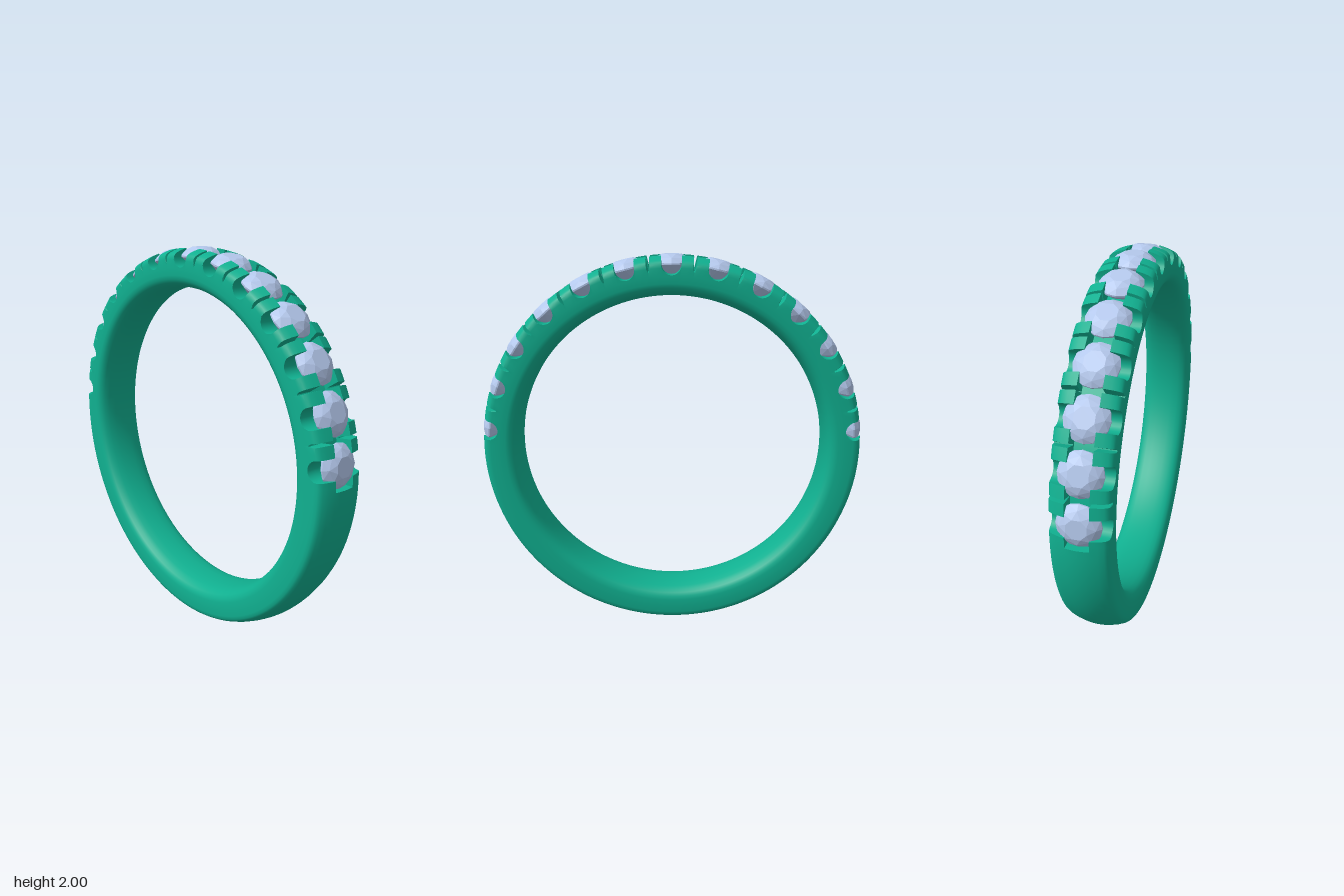
import * as THREE from 'three';
import { toCreasedNormals } from 'three/addons/utils/BufferGeometryUtils.js';
import { ConvexGeometry } from 'three/addons/geometries/ConvexGeometry.js';

const STEP = THREE.MathUtils.degToRad(13.8); // angle between stones
const SIDE = 6;                              // stones on each side of the top one
const GIRDLE = 0.955;                        // radius at which the stones sit
const NOTCH = 0.05, SLIT = 0.009;            // half widths of the cuts
const CHANNEL_Z = 0.055, CHANNEL_R = 0.91;   // channel between the prongs

// Half cross-section of the band, inner middle to outer middle: [z, radius, in channel]
const HALF = [
  [0, 0.8], [0.04, 0.801], [0.08, 0.807], [0.105, 0.816], [0.122, 0.828], [0.133, 0.845],
  [0.137, 0.865], [0.137, 0.9], [0.137, 0.94], [0.134, 0.957], [0.127, 0.967], [0.115, 0.975],
  [0.09, 0.985], [CHANNEL_Z, 0.994], [CHANNEL_Z, 0.994, true], [0.03, 0.998, true], [0, 1, true],
];

// Columns around the band: angle, cut radius across the whole width, channel on or off
function bandColumns() {
  const cols = [];
  const end = SIDE * STEP + 0.105;
  const add = (angle, cut = 2, channel = true) => cols.push({ angle, cut, channel });
  const plain = 90, rest = 2 * Math.PI - 2 * end;
  add(-end);
  for (let i = -SIDE; i <= SIDE; i++) {
    const c = i * STEP, w = NOTCH / 0.97;
    add(c - 0.08);
    add(c - w);
    for (let k = 0; k <= 12; k++) {
      const a = Math.PI * k / 12;
      add(c - w * Math.cos(a), GIRDLE - NOTCH * Math.sin(a));
    }
    add(c + w);
    add(c + 0.08);
    if (i < SIDE) {
      add(c + STEP / 2 - SLIT);
      add(c + STEP / 2 - SLIT * 0.3, 0.925);
      add(c + STEP / 2 + SLIT * 0.3, 0.925);
      add(c + STEP / 2 + SLIT);
    }
  }
  add(end);
  // plain lower part, back round to the start
  for (let k = 0; k <= plain; k++) add(end + rest * k / plain, 2, false);
  add(-end + 2 * Math.PI);
  return cols;
}

function bandGeometry() {
  const loop = [...HALF, ...HALF.slice(0, -1).reverse().map(([z, r, c]) => [-z, r, c])];
  const cols = bandColumns(), n = loop.length;
  const pos = [], index = [];
  cols.forEach(({ angle, cut, channel }, i) => {
    for (const [z, r0, inChannel] of loop) {
      const r = Math.min(r0, cut, inChannel && channel ? CHANNEL_R : 2);
      pos.push(r * Math.sin(angle), r * Math.cos(angle), z);
    }
    if (i === cols.length - 1) return;
    for (let j = 0; j < n - 1; j++) {
      const a = i * n + j, b = a + n;
      index.push(a, b, b + 1, a, b + 1, a + 1);
    }
  });
  const geo = new THREE.BufferGeometry();
  geo.setAttribute('position', new THREE.Float32BufferAttribute(pos, 3));
  geo.setIndex(index);
  // crease at a larger scale, so that the fine cuts stay distinct
  geo.scale(100, 100, 100);
  const creased = toCreasedNormals(geo, 0.6);
  creased.scale(0.01, 0.01, 0.01);
  return creased;
}

// Faceted round stone: table, crown, girdle and pointed pavilion
function stoneGeometry() {
  const points = [new THREE.Vector3(0, -0.085, 0)];
  const ring = (count, radius, y, turn) => {
    for (let k = 0; k < count; k++) {
      const a = (k + turn) / count * Math.PI * 2;
      points.push(new THREE.Vector3(radius * Math.cos(a), y, radius * Math.sin(a)));
    }
  };
  ring(8, 0.05, 0.043, 0.5);
  ring(8, 0.083, 0.027, 0);
  ring(16, 0.104, 0.004, 0);
  ring(16, 0.104, -0.004, 0);
  ring(8, 0.06, -0.045, 0.5);
  return new ConvexGeometry(points);
}

export function createModel() {
  const model = new THREE.Group();
  model.name = 'ring';
  const metal = new THREE.MeshStandardMaterial({ color: 0x10b090 });
  const gem = new THREE.MeshStandardMaterial({ color: 0xb4c8ec, flatShading: true });

  const band = new THREE.Mesh(bandGeometry(), metal);
  band.name = 'band';
  band.position.y = 1;
  model.add(band);

  // stones along the upper half
  const stones = new THREE.Group();
  stones.name = 'stones';
  stones.position.y = 1;
  const geo = stoneGeometry();
  for (let i = -SIDE; i <= SIDE; i++) {
    const a = i * STEP;
    const stone = new THREE.Mesh(geo, gem);
    stone.name = 'stone';
    stone.position.set(GIRDLE * Math.sin(a), GIRDLE * Math.cos(a), 0);
    stone.rotation.z = -a;
    stones.add(stone);
  }
  model.add(stones);
  return model;
}
